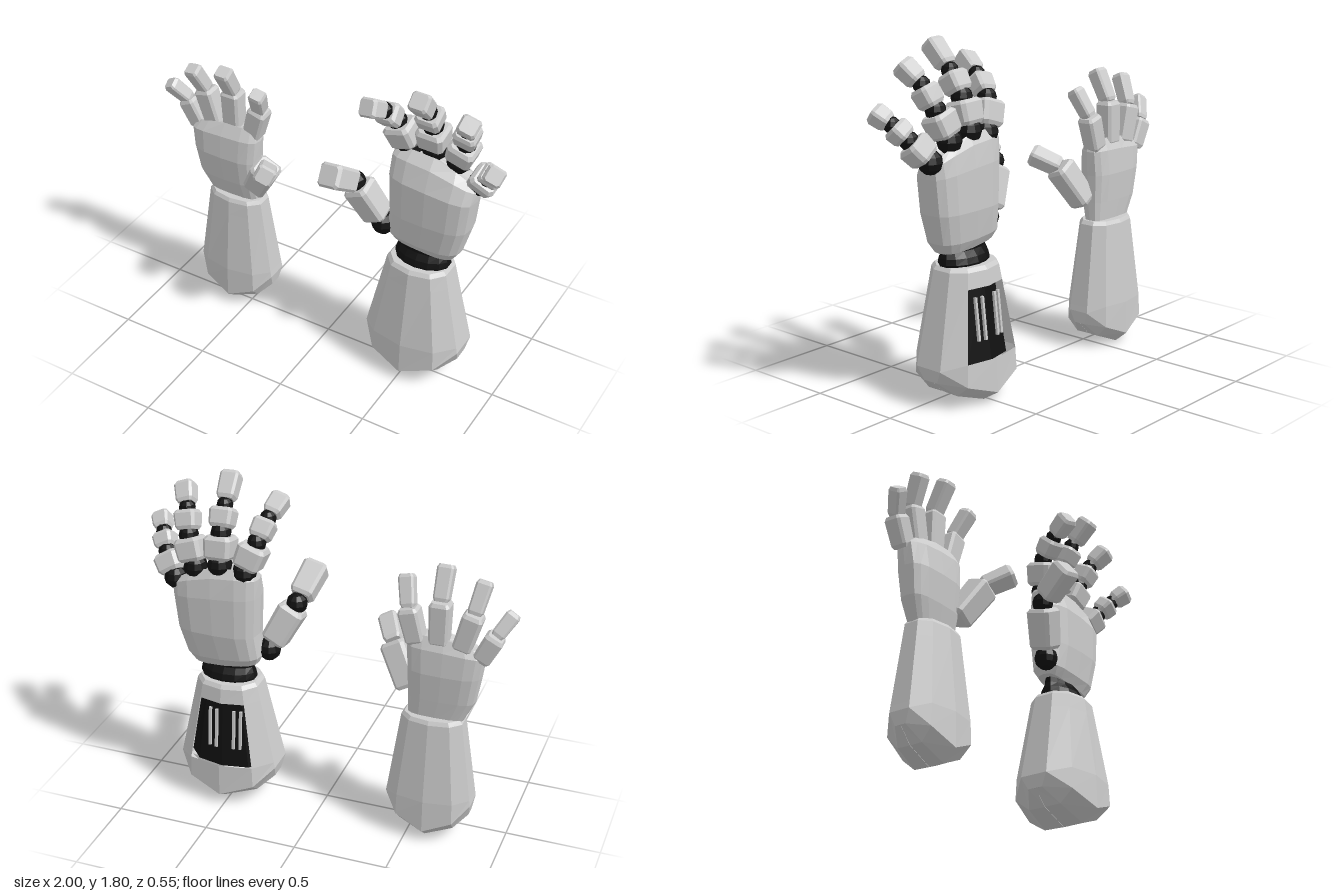
import * as THREE from 'three';

const grey = new THREE.MeshStandardMaterial({ color: 0xcccccc, flatShading: true, side: THREE.DoubleSide });
const black = new THREE.MeshStandardMaterial({ color: 0x111111, flatShading: true });

// Skin a stack of rings (bottom to top, each running from +z towards +x), capped at both ends
function loft(rings, skip = () => false) {
  const pos = [];
  const tri = (...p) => p.forEach(v => pos.push(v.x, v.y, v.z));
  const n = rings[0].length;
  const mid = r => r.reduce((s, v) => s.add(v), new THREE.Vector3()).divideScalar(n);
  const first = rings[0], last = rings[rings.length - 1];
  const c0 = mid(first), c1 = mid(last);
  for (let j = 0; j < n; j++) {
    const k = (j + 1) % n;
    tri(c0, first[k], first[j]);
    tri(c1, last[j], last[k]);
    for (let i = 0; i < rings.length - 1; i++) {
      if (skip(i, j)) continue;
      tri(rings[i][j], rings[i][k], rings[i + 1][k]);
      tri(rings[i][j], rings[i + 1][k], rings[i + 1][j]);
    }
  }
  const g = new THREE.BufferGeometry();
  g.setAttribute('position', new THREE.Float32BufferAttribute(pos, 3));
  g.computeVertexNormals();
  return g;
}

// Rounded cross-section; lift raises both its left and right ends, tilt raises +x and lowers -x
function ring(n, y, cx, cz, rx, rz, power = 1, lift = 0, tilt = 0) {
  const bend = v => Math.sign(v) * Math.pow(Math.abs(v) < 1e-9 ? 0 : Math.abs(v), power);
  return Array.from({ length: n }, (_, j) => {
    const a = j / n * Math.PI * 2;
    const sx = bend(Math.sin(a)), sz = bend(Math.cos(a));
    return new THREE.Vector3(cx + sx * rx, y + lift * sx * sx + tilt * sx, cz + sz * rz);
  });
}

function add(parent, name, geometry, material = grey) {
  const m = new THREE.Mesh(geometry, material);
  m.name = name;
  parent.add(m);
  return m;
}

// Chamfered block running from a to b
const CORNERS = [[-.75, 1], [.75, 1], [1, .75], [1, -.75], [.75, -1], [-.75, -1], [-1, -.75], [-1, .75]];
function block(parent, name, a, b, w) {
  const dir = b.clone().sub(a), L = dir.length(), c = Math.min(0.018, L * 0.2);
  const levels = [[0, 0.75], [c, 0.93], [L - c, 1], [L, 0.8]];
  const m = add(parent, name, loft(levels.map(([y, s]) =>
    CORNERS.map(([x, z]) => new THREE.Vector3(x * s * w / 2, y, z * s * w * 0.48)))));
  m.position.copy(a);
  m.quaternion.setFromUnitVectors(new THREE.Vector3(0, 1, 0), dir.normalize());
}

// Finger through a list of joints; jointed fingers show dark balls between the blocks
function finger(parent, name, joints, widths, jointed) {
  const g = new THREE.Group();
  g.name = name;
  parent.add(g);
  const p = joints.map(j => new THREE.Vector3(...j));
  for (let i = 0; i < p.length - 1; i++) {
    const from = p[i].clone().lerp(p[i + 1], jointed ? 0.17 : 0);
    const end = i === p.length - 2 ? 1 : jointed ? 0.91 : 1.02;
    const to = p[i].clone().lerp(p[i + 1], end);
    block(g, 'fingerSegment', from, to, widths[i]);
    if (jointed) {
      const ball = add(g, 'fingerJoint', new THREE.SphereGeometry(widths[i] * 0.44, 10, 6), black);
      ball.position.copy(p[i]);
    }
  }
}

// Palm from rows of [y, xMin, xMax, zFront, zBack, lift, tilt]
function palm(parent, rows) {
  add(parent, 'palm', loft(rows.map(([y, x0, x1, zf, zb, lift, tilt]) =>
    ring(16, y, (x0 + x1) / 2, (zf + zb) / 2, (x1 - x0) / 2, (zf - zb) / 2, 0.62, lift, tilt))));
}

// Forearm shell with a scooped, keel-shaped lower end
function forearm(parent, cx, cz, s, window) {
  const bot = [0.28 * s.x, 0.21 * s.z], top = [0.175 * s.t, 0.145 * s.z];
  const at = (y, k = 1) => {
    const t = (y - 0.22) / 0.47;
    return ring(10, y, cx, cz, (bot[0] + (top[0] - bot[0]) * t) * k, (bot[1] + (top[1] - bot[1]) * t) * k, 0.85);
  };
  add(parent, 'forearm', loft([
    ring(10, 0.0, cx, cz, bot[0] * 0.94, 0.001, 0.85, 0.15),
    ring(10, 0.0, cx, cz, bot[0] * 0.96, bot[1] * 0.55, 0.85, 0.15),
    ring(10, 0.06, cx, cz, bot[0] * 1.01, bot[1] * 1.01, 0.85, 0.16),
    at(0.24), at(0.6), at(0.68),
    ring(10, 0.7, cx, cz, top[0] * 0.92, top[1] * 0.9, 0.85),
  ], (i, j) => window && i === 3 && (j === 4 || j === 5)));
  if (!window) return;
  // Dark core and rods seen through the back window
  add(parent, 'forearmCore', loft([at(0.22, 0.8), at(0.64, 0.8)]), black);
  for (const dx of [0.07, 0.03, -0.065, -0.1]) {
    const rod = add(parent, 'forearmRod', new THREE.BoxGeometry(0.014, 0.22, 0.014));
    rod.position.set(cx + dx, 0.44, cz - 0.156 + 0.22 * Math.abs(dx));
    rod.rotation.x = 0.11;
  }
}

export function createModel() {
  const model = new THREE.Group();
  model.name = 'handPair';

  // Large jointed hand
  const big = new THREE.Group();
  big.name = 'jointedHand';
  model.add(big);
  forearm(big, 0.52, -0.06, { x: 1, t: 1, z: 1 }, true);
  add(big, 'wrist', loft([
    ring(14, 0.67, 0.525, -0.06, 0.14, 0.09), ring(14, 0.71, 0.53, -0.06, 0.155, 0.1),
    ring(14, 0.74, 0.53, -0.06, 0.15, 0.09), ring(14, 0.77, 0.53, -0.06, 0.14, 0.065),
    ring(14, 0.82, 0.53, -0.06, 0.14, 0.06),
  ]), black);
  palm(big, [
    [0.78, 0.355, 0.71, 0.00, -0.13, 0.01, -0.015],
    [0.83, 0.335, 0.745, 0.03, -0.16, 0.01, -0.01],
    [0.98, 0.345, 0.785, 0.045, -0.185, 0, 0],
    [1.19, 0.335, 0.805, 0.045, -0.185, -0.01, -0.02],
    [1.30, 0.335, 0.81, 0.005, -0.17, -0.04, -0.04],
    [1.35, 0.355, 0.785, -0.045, -0.14, -0.06, -0.045],
  ]);
  finger(big, 'indexFinger', [[.41, 1.33, -.1], [.355, 1.49, -.06], [.328, 1.59, .03], [.295, 1.665, .15]], [.15, .115, .1], true);
  finger(big, 'middleFinger', [[.54, 1.36, -.11], [.545, 1.52, -.07], [.55, 1.64, 0], [.555, 1.77, .12]], [.15, .125, .1], true);
  finger(big, 'ringFinger', [[.675, 1.33, -.11], [.725, 1.48, -.07], [.755, 1.6, -.01], [.8, 1.695, .08]], [.145, .12, .1], true);
  finger(big, 'littleFinger', [[.795, 1.245, -.1], [.868, 1.35, -.035], [.915, 1.425, .03], [.96, 1.485, .11]], [.14, .11, .095], true);
  finger(big, 'thumb', [[.315, .87, -.02], [.185, 1.125, .05], [.14, 1.265, .24]], [.145, .13], true);

  // Small plain hand
  const small = new THREE.Group();
  small.name = 'plainHand';
  model.add(small);
  forearm(small, -0.6, -0.065, { x: 0.84, t: 0.95, z: 0.74 }, false);
  palm(small, [
    [0.68, -0.755, -0.465, -0.01, -0.12, 0, 0],
    [0.80, -0.815, -0.46, 0.02, -0.13, 0, 0],
    [0.95, -0.84, -0.455, 0.035, -0.14, 0, 0],
    [1.08, -0.855, -0.445, 0.02, -0.13, -0.01, 0.01],
    [1.145, -0.83, -0.455, -0.02, -0.10, -0.03, 0.02],
  ]);
  finger(small, 'littleFinger', [[-.83, 1.05, -.07], [-.9, 1.19, -.065], [-.97, 1.3, 0]], [.1, .075], false);
  finger(small, 'ringFinger', [[-.73, 1.09, -.07], [-.785, 1.29, -.065], [-.815, 1.445, .01]], [.105, .08], false);
  finger(small, 'middleFinger', [[-.615, 1.1, -.07], [-.615, 1.33, -.065], [-.615, 1.495, .02]], [.105, .085], false);
  finger(small, 'indexFinger', [[-.5, 1.09, -.07], [-.45, 1.27, -.065], [-.415, 1.415, .01]], [.105, .08], false);
  finger(small, 'thumb', [[-.46, .80, -.03], [-.345, 1.0, .05], [-.27, 1.065, .185]], [.135, .1], false);

  return model;
}
